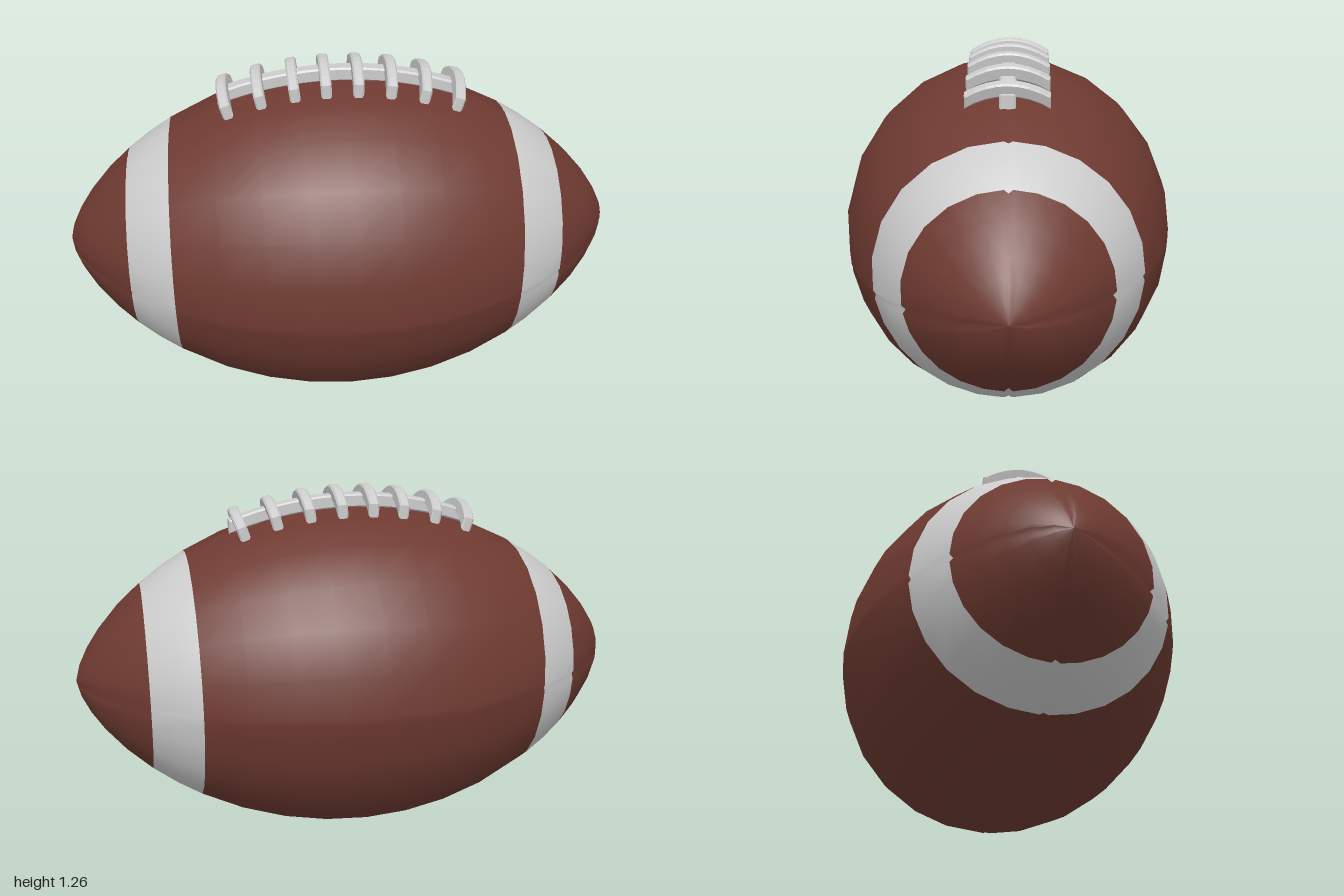
import * as THREE from 'three';

const CENTER_Y = 0.592;
const leather = new THREE.MeshStandardMaterial({ color: 0x6e3a31 });
leather.name = 'brown leather';
const white = new THREE.MeshStandardMaterial({ color: 0xcccccc });
white.name = 'off white';

// Radius of the ball at a position along its long axis
const radius = (x) => 0.592 * Math.pow(Math.max(0, 1 - x * x), 0.67);
const slope = (x) => Math.atan((radius(x + 0.01) - radius(x - 0.01)) / 0.02);

// Ball skin: rings along x, with four seams pressed in towards the tips
function ballGeometry() {
  const xs = [-1, -0.985, -0.955, -0.91, -0.84, -0.765, -0.69, -0.61, -0.45, -0.3, -0.15, 0,
    0.15, 0.3, 0.45, 0.59, 0.67, 0.755, 0.84, 0.91, 0.955, 0.985, 1];
  const seams = [0, 99, 180, 269, 360].map(THREE.MathUtils.degToRad);
  const positions = [];
  const index = [];
  const columns = 4 * 8;
  for (const x of xs) {
    const r = radius(x);
    const w = Math.min(0.014 / Math.max(r, 0.001), 0.2);
    const depth = Math.min(r * 0.15, 0.002 + 0.01 * THREE.MathUtils.smoothstep(Math.abs(x), 0.45, 0.75));
    for (let s = 0; s < 4; s++) {
      const a = seams[s], b = seams[s + 1];
      const angles = [a, a + w];
      for (let k = 1; k < 6; k++) angles.push(a + (b - a) * k / 6);
      angles.push(b - w);
      angles.forEach((t, k) => {
        const rr = k === 0 ? r - depth : r;
        positions.push(x, CENTER_Y + rr * Math.cos(t), rr * Math.sin(t));
      });
    }
  }
  const geo = new THREE.BufferGeometry();
  for (let i = 0; i < xs.length - 1; i++) {
    const start = index.length;
    for (let j = 0; j < columns; j++) {
      const a = i * columns + j, b = i * columns + (j + 1) % columns;
      index.push(a, b, a + columns, b, b + columns, a + columns);
    }
    // White bands near both ends
    const mid = (xs[i] + xs[i + 1]) / 2;
    const band = (mid > -0.765 && mid < -0.61) || (mid > 0.59 && mid < 0.755);
    geo.addGroup(start, index.length - start, band ? 1 : 0);
  }
  geo.setAttribute('position', new THREE.Float32BufferAttribute(positions, 3));
  geo.setIndex(index);
  geo.computeVertexNormals();
  return geo;
}

// Closed shape between a lower and an upper curve
function ribbonShape(half, steps, lower, upper) {
  const pts = [];
  for (let i = 0; i <= steps; i++) {
    const u = -half + 2 * half * i / steps;
    pts.push(new THREE.Vector2(u, lower(u)));
  }
  for (let i = steps; i >= 0; i--) {
    const u = -half + 2 * half * i / steps;
    pts.push(new THREE.Vector2(u, upper(u)));
  }
  return new THREE.Shape(pts);
}

function extrude(shape, width) {
  const bevel = 0.006;
  const geo = new THREE.ExtrudeGeometry(shape, {
    depth: width - 2 * bevel, bevelThickness: bevel, bevelSize: bevel, bevelOffset: -bevel, bevelSegments: 1,
  });
  return geo.translate(0, 0, -width / 2 + bevel);
}

export function createModel() {
  const model = new THREE.Group();
  model.name = 'ball';

  const skin = new THREE.Mesh(ballGeometry(), [leather, white]);
  skin.name = 'ballSkin';
  model.add(skin);

  const laces = new THREE.Group();
  laces.name = 'laces';
  laces.position.set(0, CENTER_Y, -0.006);
  laces.rotation.y = -0.02;
  model.add(laces);

  // Long lace running along the top
  const strip = new THREE.Mesh(extrude(ribbonShape(0.435, 20,
    (x) => radius(x) - 0.005, (x) => radius(x) + 0.043), 0.055), white);
  strip.name = 'longLace';
  laces.add(strip);

  // Eight cross laces arched over it
  const arch = (z) => -0.045 * (z / 0.142) ** 2;
  const crossGeo = extrude(ribbonShape(0.142, 8,
    (z) => 0.026 + arch(z), (z) => 0.074 + arch(z)), 0.037);
  crossGeo.rotateY(Math.PI / 2);
  for (const x of [-0.4, -0.285, -0.168, -0.06, 0.05, 0.163, 0.28, 0.395]) {
    const lace = new THREE.Mesh(crossGeo, white);
    lace.name = 'crossLace';
    lace.position.set(x, radius(x), 0);
    lace.rotation.z = slope(x);
    laces.add(lace);
  }
  return model;
}
